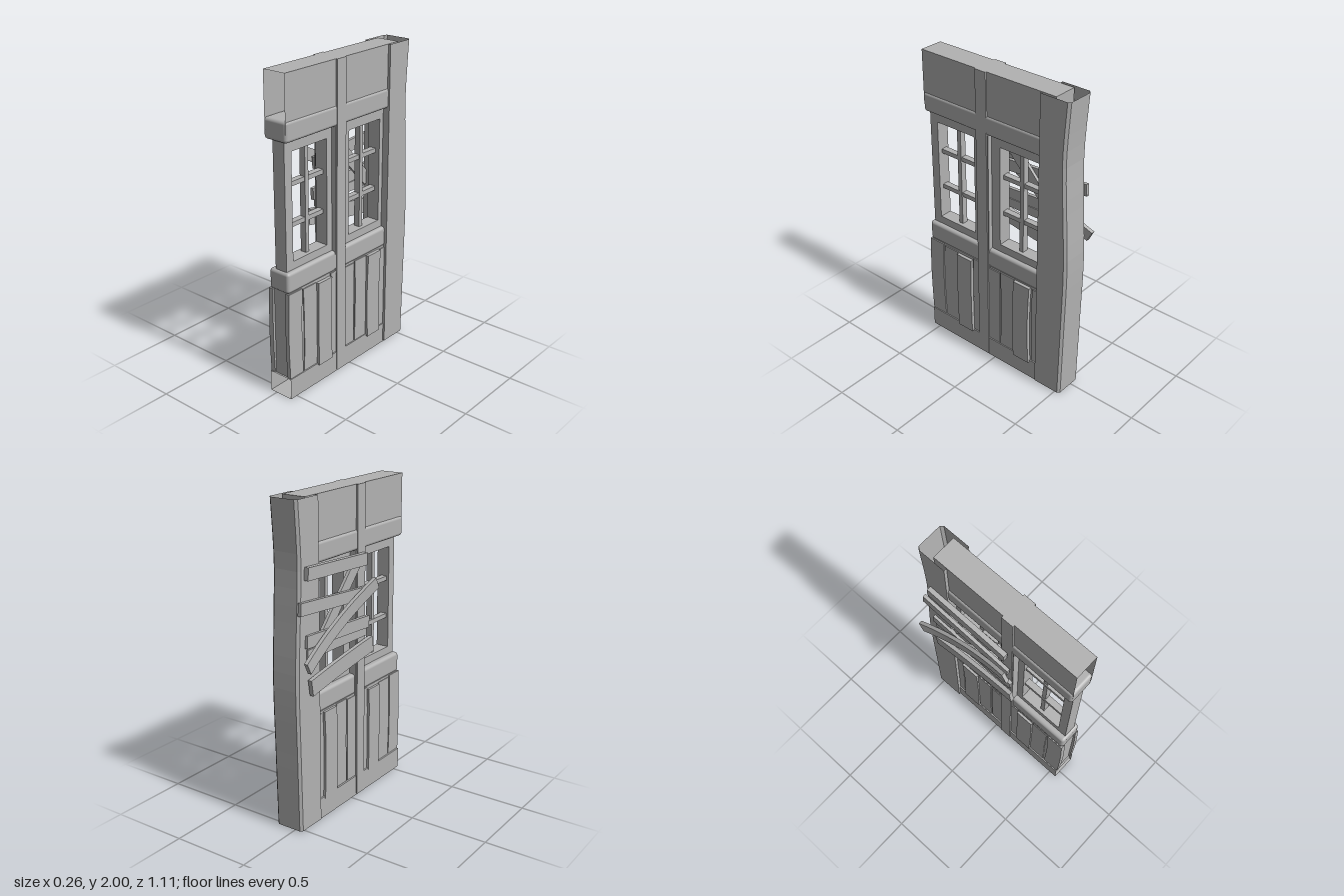
import * as THREE from 'three';
import { RoundedBoxGeometry } from 'three/addons/geometries/RoundedBoxGeometry.js';

const wood = new THREE.MeshStandardMaterial({ color: 0xb2b2b2, side: THREE.DoubleSide });
wood.name = 'plain grey';

export function createModel() {
  const root = new THREE.Group();
  root.name = 'woodenWallSection';

  const add = (name, geometry, parent = root) => {
    const mesh = new THREE.Mesh(geometry, wood);
    mesh.name = name;
    parent.add(mesh);
    return mesh;
  };
  const group = (name) => {
    const g = new THREE.Group();
    g.name = name;
    root.add(g);
    return g;
  };
  // Move every vertex by a rule
  const bend = (geometry, rule) => {
    const p = geometry.attributes.position;
    const v = new THREE.Vector3();
    for (let i = 0; i < p.count; i++) {
      rule(v.fromBufferAttribute(p, i));
      p.setXYZ(i, v.x, v.y, v.z);
    }
    geometry.computeVertexNormals();
    return geometry;
  };
  // Box from ranges; faces in `open` are left out (0 +x, 1 -x, 2 +y, 3 -y, 4 +z, 5 -z)
  const box = ([x0, x1], [y0, y1], [z0, z1], open = [], ySegments = 1) => {
    const g = new THREE.BoxGeometry(x1 - x0, y1 - y0, z1 - z0, 1, ySegments, 1);
    const kept = [];
    g.groups.forEach((f, i) => {
      if (!open.includes(i)) kept.push(...g.index.array.slice(f.start, f.start + f.count));
    });
    g.setIndex(kept);
    g.clearGroups();
    return g.translate((x0 + x1) / 2, (y0 + y1) / 2, (z0 + z1) / 2);
  };
  const rounded = ([x0, x1], [y0, y1], [z0, z1], r) =>
    new RoundedBoxGeometry(x1 - x0, y1 - y0, z1 - z0, 2, r)
      .translate((x0 + x1) / 2, (y0 + y1) / 2, (z0 + z1) / 2);

  // Hollow, slightly wavy end post
  const backEdge = new THREE.SplineCurve([
    [-0.54, 0.01], [-0.549, 0.5], [-0.555, 0.95], [-0.535, 1.35], [-0.522, 1.65], [-0.542, 2],
  ].map(([z, y]) => new THREE.Vector2(z, y)));
  const edgePoints = backEdge.getPoints(60);
  const backZ = (y) => {
    const i = Math.max(1, edgePoints.findIndex((p) => p.y >= y - 1e-4));
    const a = edgePoints[i - 1], b = edgePoints[i];
    return a.x + (b.x - a.x) * (y - a.y) / (b.y - a.y);
  };
  const postOutline = [[-0.06, -0.345], [0.13, -0.345], [0.13, 0.015], [0.115, 0], [-0.045, 0], [-0.06, 0.015]];
  const postPos = [];
  const rows = 20;
  for (let r = 0; r < rows; r++) {
    for (let k = 0; k < postOutline.length; k++) {
      const corner = (n, row) => {
        const [x, z] = postOutline[n % postOutline.length];
        const y = 0.01 + 1.99 * row / rows;
        return [x, y, z < -0.3 ? z : z + backZ(y)];
      };
      const a = corner(k, r), b = corner(k + 1, r), c = corner(k + 1, r + 1), d = corner(k, r + 1);
      postPos.push(...a, ...c, ...b, ...a, ...d, ...c);
    }
  }
  const postGeometry = new THREE.BufferGeometry();
  postGeometry.setAttribute('position', new THREE.Float32BufferAttribute(postPos, 3));
  postGeometry.computeVertexNormals();
  add('endPost', postGeometry);

  // Upper panel, open at the front end
  add('upperPanel', box([-0.04, 0.113], [1.66, 2], [-0.44, 0.55], [3, 4]));

  // Horizontal beams
  add('upperBeam', rounded([-0.05, 0.12], [1.61, 1.735], [-0.4, 0.552], 0.02));
  add('middleBeam', rounded([-0.038, 0.112], [0.7, 0.83], [-0.4, 0.55], 0.02));
  add('bottomBeam', box([-0.047, 0.117], [0.0, 0.135], [-0.39, 0.552], [4]));

  // Centre upright
  add('centreUpright', box([-0.052, 0.122], [0.01, 2], [0.05, 0.13]));
  add('windowUpright', box([-0.045, 0.115], [0.69, 1.61], [0.042, 0.136]));

  // Windows: frame with a hole, then glazing bars
  const makeWindow = (name, z0, z1, h0, h1, barZ) => {
    const g = group(name);
    const rect = (target, a, b, c, d) => {
      target.moveTo(-b, c);
      target.lineTo(-a, c);
      target.lineTo(-a, d);
      target.lineTo(-b, d);
      target.closePath();
      return target;
    };
    const shape = rect(new THREE.Shape(), z0, z1, 0.82, 1.615);
    shape.holes.push(rect(new THREE.Path(), h0, h1, 0.88, 1.545));
    const frame = new THREE.ExtrudeGeometry(shape, { depth: 0.085, bevelEnabled: false });
    frame.rotateY(Math.PI / 2).translate(0, 0, 0);
    add('windowFrame', frame, g);
    add('verticalBar', box([0.02, 0.06], [0.87, 1.55], [barZ - 0.014, barZ + 0.014]), g);
    for (const y of [1.09, 1.338]) {
      add('horizontalBar', box([0.015, 0.055], [y - 0.014, y + 0.014], [h0 - 0.01, h1 + 0.01]), g);
    }
  };
  makeWindow('frontWindow', 0.13, 0.533, 0.18, 0.475, 0.325);
  makeWindow('backWindow', -0.35, 0.045, -0.312, -0.022, -0.168);

  // Lower panel and its planks on both sides
  add('lowerPanel', box([-0.036, 0.108], [0.13, 0.705], [-0.4, 0.54]));
  const planks = group('lowerPlanks');
  // [z start, z end, bottom, top, lift, lean]
  const plankList = [
    [0.435, 0.55, 0.14, 0.7, 0.008, 0.008],
    [0.31, 0.425, 0.14, 0.69, 0.006, -0.006],
    [0.185, 0.305, 0.125, 0.685, 0.022, 0.004],
    [0.125, 0.178, 0.14, 0.7, 0.006, 0.004],
    [-0.04, 0.05, 0.14, 0.69, 0.006, 0],
    [-0.155, -0.048, 0.14, 0.7, 0.008, -0.006],
    [-0.288, -0.165, 0.12, 0.695, 0.022, 0.01],
    [-0.35, -0.3, 0.14, 0.69, 0.006, 0.004],
  ];
  for (const [z0, z1, y0, y1, lift, lean] of plankList) {
    const sides = [
      ['rightPlank', [0.09, 0.108 + lift]],
      ['leftPlank', [-0.036 - lift * 0.7, -0.01]],
    ];
    for (const [name, xs] of sides) {
      const g = box(xs, [y0, y1], [z0, z1], [], 4);
      add(name, bend(g, (v) => {
        const t = (v.y - y0) / (y1 - y0);
        v.z += lean * Math.sin(t * Math.PI);
      }), planks);
    }
  }

  // Loose boards nailed across the back window
  const boards = group('nailedBoards');
  const board = (name, [zA, yA], [zB, yB], width, x, thick, bow = 0) => {
    const length = Math.hypot(zB - zA, yB - yA);
    const g = new THREE.BoxGeometry(thick, width, length, 1, 1, 10);
    bend(g, (v) => { v.x -= bow * (2 * v.z / length) ** 2; });
    const mesh = add(name, g, boards);
    mesh.position.set(x, (yA + yB) / 2, (zA + zB) / 2);
    mesh.rotation.x = -Math.atan2(yB - yA, zB - zA);
  };
  board('topBoard', [-0.48, 1.585], [0.1, 1.555], 0.075, -0.073, 0.03);
  board('upperBoard', [-0.54, 1.395], [0.12, 1.345], 0.075, -0.07, 0.022);
  board('middleBoard', [-0.48, 1.19], [0.14, 1.155], 0.075, -0.066, 0.022);
  board('lowMiddleBoard', [-0.47, 1.11], [0.12, 1.1], 0.06, -0.06, 0.02);
  board('bottomBoard', [-0.46, 0.91], [0.16, 1.01], 0.1, -0.074, 0.026, 0.006);
  board('innerBrace', [-0.36, 1.11], [0.05, 1.55], 0.075, -0.05, 0.02);
  board('outerBrace', [-0.54, 1.06], [0.145, 1.405], 0.075, -0.093, 0.024, 0.028);

  return root;
}
